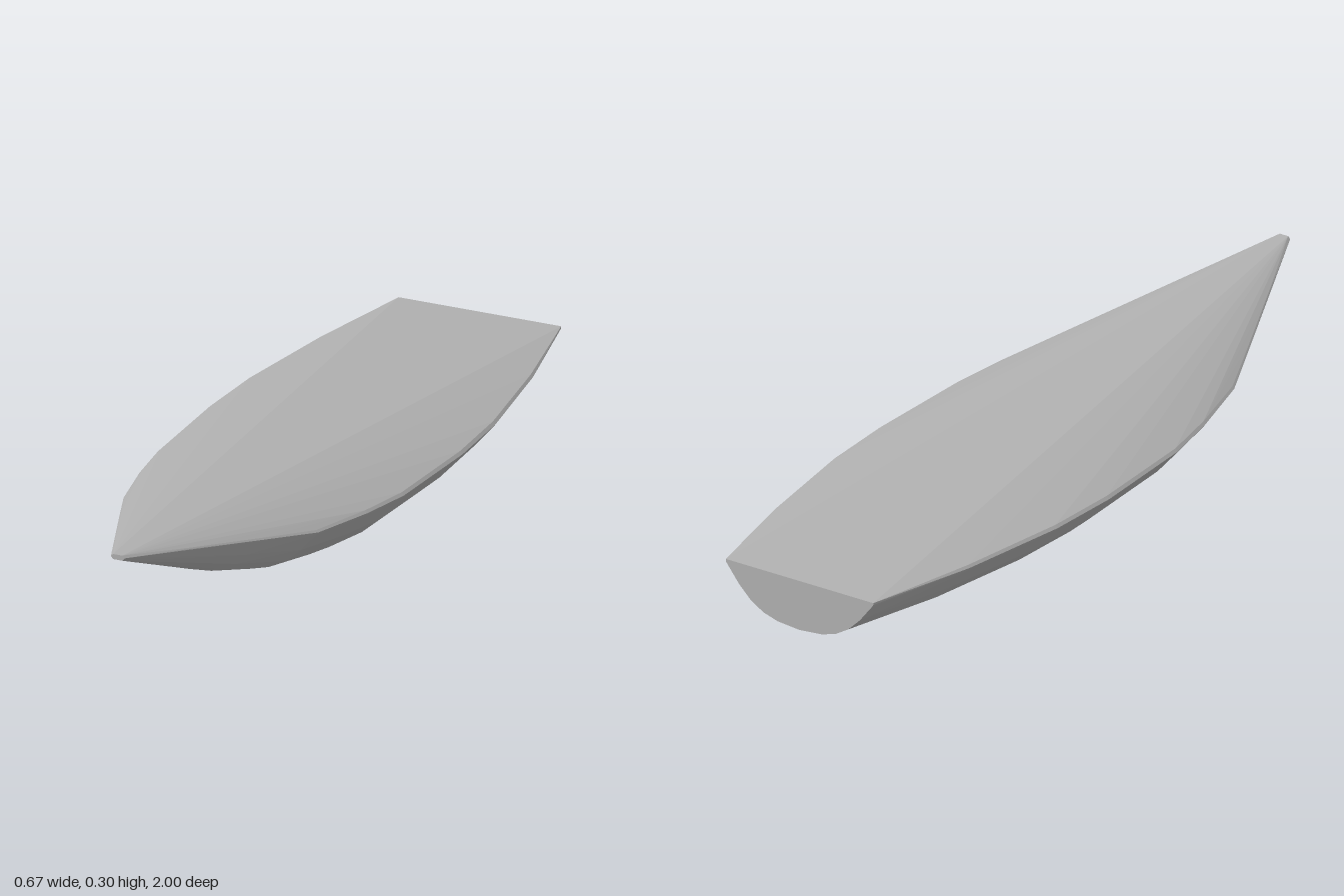
import * as THREE from 'three';
import { ConvexGeometry } from 'three/addons/geometries/ConvexGeometry.js';

// Half cross-section, gunwale to keel: fractions of half-width and of depth
const PROFILE = [
  [0.98, 1], [1, 0.96], [0.98, 0.91], [0.82, 0.57],
  [0.66, 0.31], [0.49, 0.14], [0.3, 0.045], [0, 0],
];

// Stations from stern to bow: z, half-width, keel height, gunwale height
const STATIONS = [
  [-1, 0.212, 0.052, 0.18],
  [-0.7, 0.28, 0.022, 0.179],
  [-0.4, 0.324, 0.005, 0.178],
  [-0.2, 0.333, 0, 0.178],
  [0.1, 0.321, 0.009, 0.181],
  [0.25, 0.297, 0.027, 0.187],
  [0.43, 0.254, 0.061, 0.196],
  [0.6, 0.184, 0.116, 0.226],
  [0.8, 0.1, 0.202, 0.262],
];

export function createModel() {
  const group = new THREE.Group();
  group.name = 'boat';
  const grey = new THREE.MeshStandardMaterial({ color: 0xb0b0b0 });
  grey.name = 'hull grey';

  const points = [];
  const addPair = (x, y, z) => {
    points.push(new THREE.Vector3(x, y, z));
    if (x > 0) points.push(new THREE.Vector3(-x, y, z));
  };

  // Rounded hull stations
  for (const [z, half, keel, top] of STATIONS) {
    for (const [fx, fy] of PROFILE) addPair(half * fx, keel + (top - keel) * fy, z);
  }
  // Full-width corners of the transom
  addPair(0.212, 0.18, -1);
  // Small blunt six-sided bow tip
  addPair(0.012, 0.3, 1);
  addPair(0.018, 0.294, 1);
  addPair(0.012, 0.287, 1);

  // Closed, faceted hull with its deck
  const hull = new THREE.Mesh(new ConvexGeometry(points), grey);
  hull.name = 'hull';
  group.add(hull);
  return group;
}
